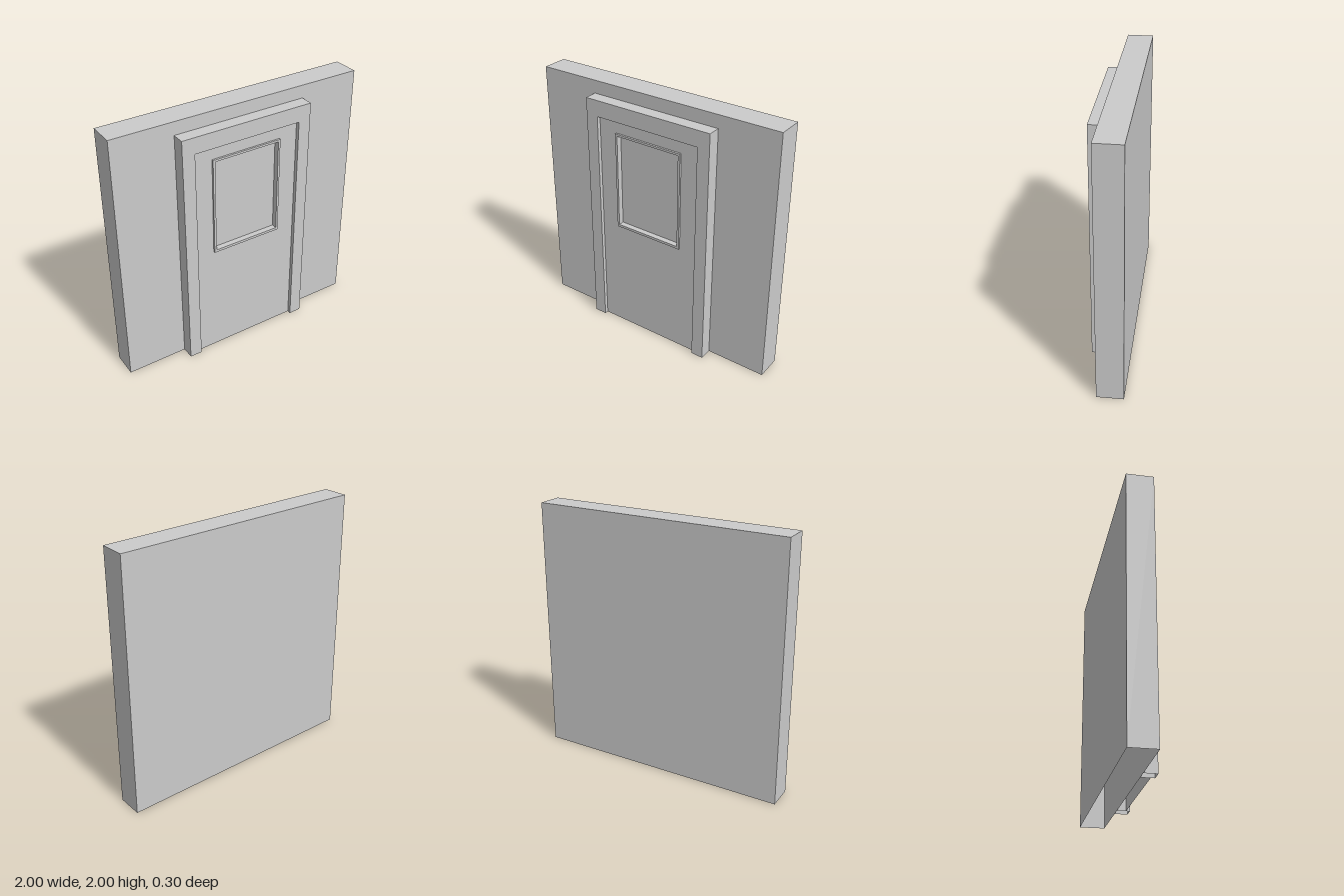
import * as THREE from 'three';

const material = new THREE.MeshStandardMaterial({ color: 0xcccccc, side: THREE.DoubleSide });

// Rectangle outline, usable as a shape or a hole
function rect(x, y0, y1, Type = THREE.Shape) {
  const r = new Type();
  r.moveTo(-x, y0);
  r.lineTo(x, y0);
  r.lineTo(x, y1);
  r.lineTo(-x, y1);
  r.closePath();
  return r;
}

// Removes the faces lying on the ground, leaving the part open underneath
function openBottom(geometry) {
  const g = geometry.index ? geometry.toNonIndexed() : geometry;
  const p = g.attributes.position;
  const keep = [];
  for (let i = 0; i < p.count; i += 3) {
    if (Math.max(p.getY(i), p.getY(i + 1), p.getY(i + 2)) > 1e-4) keep.push(i, i + 1, i + 2);
  }
  g.clearGroups();
  g.setIndex(keep);
  return g;
}

function extrude(shape, z0, z1) {
  return new THREE.ExtrudeGeometry(shape, { depth: z1 - z0, bevelEnabled: false }).translate(0, 0, z0);
}

export function createModel() {
  const model = new THREE.Group();
  model.name = 'wallWithDoor';
  const add = (name, geometry) => {
    const mesh = new THREE.Mesh(geometry, material);
    mesh.name = name;
    model.add(mesh);
  };

  // Wall slab, open underneath
  add('wall', openBottom(new THREE.BoxGeometry(2, 2, 0.2).translate(0, 1, -0.05)));

  // Door surround: two jambs and a lintel in one outline
  const surround = new THREE.Shape(
    [[-0.527, 0], [-0.43, 0], [-0.43, 1.775], [0.43, 1.775], [0.43, 0], [0.527, 0], [0.527, 1.9], [-0.527, 1.9]]
      .map(([x, y]) => new THREE.Vector2(x, y)));
  add('doorFrame', openBottom(extrude(surround, 0.05, 0.15)));

  // Door leaf with a window opening
  const leaf = rect(0.43, 0, 1.775);
  leaf.holes.push(rect(0.27, 0.91, 1.665, THREE.Path));
  add('door', new THREE.ShapeGeometry(leaf).translate(0, 0, 0.12));

  // Raised window trim and the recessed pane
  const trim = rect(0.282, 0.898, 1.675);
  trim.holes.push(rect(0.265, 0.918, 1.658, THREE.Path));
  add('windowTrim', extrude(trim, 0.09, 0.135));
  add('windowPane', new THREE.ShapeGeometry(rect(0.27, 0.91, 1.665)).translate(0, 0, 0.091));

  return model;
}
